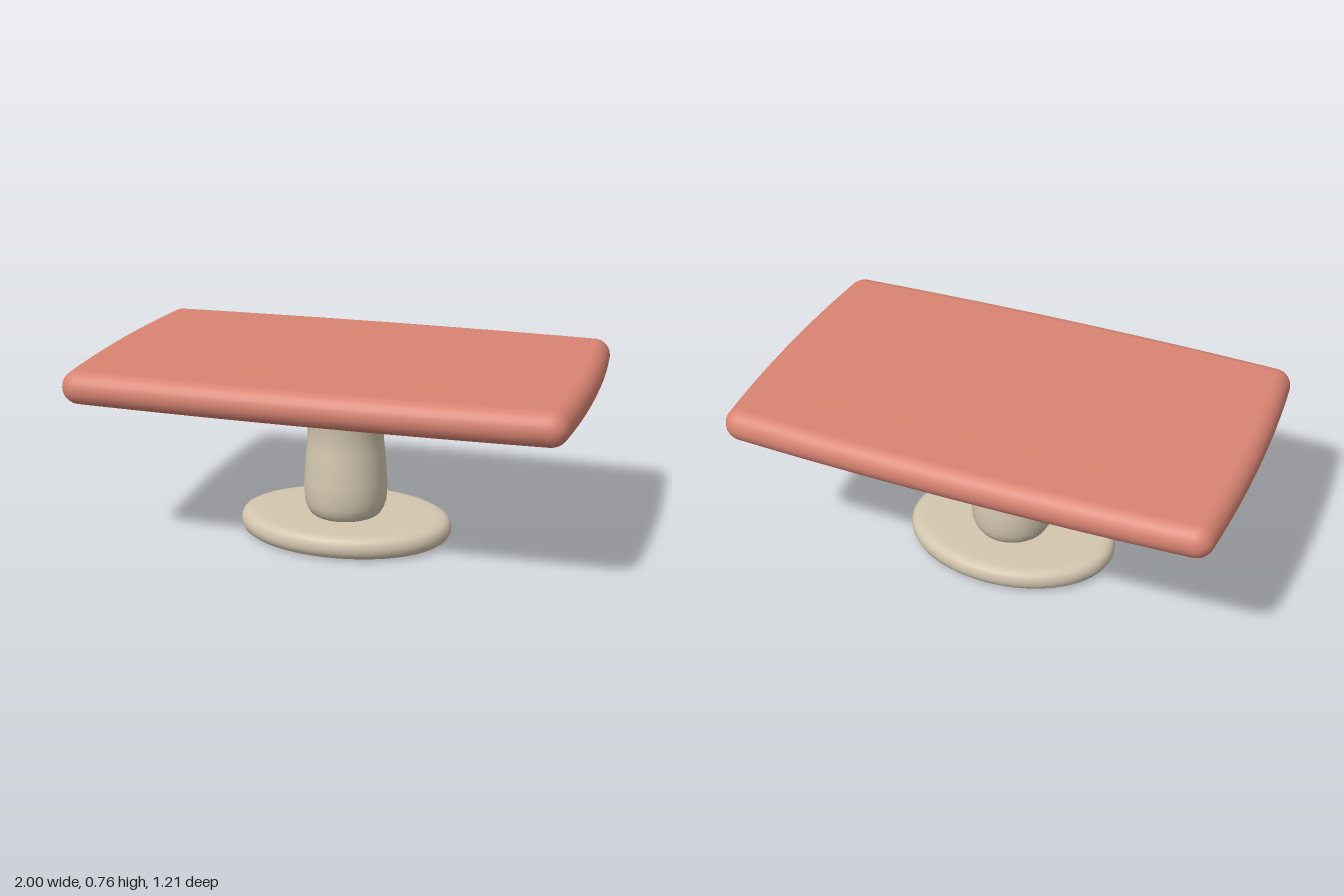
import * as THREE from 'three';

const coral = new THREE.MeshStandardMaterial({ name: 'coral', color: 0xd98472 });
const cream = new THREE.MeshStandardMaterial({ name: 'cream', color: 0xd3c6af });

// Slab with gently bowed sides, rounded corners and a half-round rim
function slabGeometry(cx, cz, bulge, rim, yMid, halfH) {
  const outline = []; // [x, z, normalX, normalZ]
  const corners = [[1, 1], [-1, 1], [-1, -1], [1, -1]];
  corners.forEach(([sx, sz], i) => {
    for (let k = 0; k <= 6; k++) { // corner arc
      const a = (i + k / 6) * Math.PI / 2;
      outline.push([sx * cx, sz * cz, Math.cos(a), Math.sin(a)]);
    }
    const [ex, ez] = corners[(i + 1) % 4];
    const a = (i + 1) * Math.PI / 2, nx = Math.cos(a), nz = Math.sin(a);
    for (let k = 1; k < 16; k++) { // bowed side
      const t = k / 16, b = bulge * 4 * t * (1 - t);
      outline.push([cx * (sx + (ex - sx) * t) + nx * b, cz * (sz + (ez - sz) * t) + nz * b, nx, nz]);
    }
  });

  const n = outline.length, rings = 12, pos = [], index = [];
  for (let r = 0; r <= rings; r++) {
    const phi = (r / rings - 0.5) * Math.PI, d = 0.004 + (rim - 0.004) * Math.cos(phi);
    for (const [x, z, nx, nz] of outline) pos.push(x + nx * d, yMid + halfH * Math.sin(phi), z + nz * d);
  }
  const bottom = pos.length / 3, top = bottom + 1;
  pos.push(0, yMid - halfH, 0, 0, yMid + halfH, 0);
  for (let i = 0; i < n; i++) {
    const j = (i + 1) % n;
    for (let r = 0; r < rings; r++) {
      const a = r * n + i, b = r * n + j;
      index.push(a, a + n, b, b, a + n, b + n);
    }
    index.push(bottom, i, j, top, rings * n + j, rings * n + i);
  }
  const g = new THREE.BufferGeometry();
  g.setAttribute('position', new THREE.Float32BufferAttribute(pos, 3));
  g.setIndex(index);
  g.computeVertexNormals();
  return g;
}

// Smooth turned shape from a few [radius, height] points
function turned(points) {
  return new THREE.LatheGeometry(points.map(([r, y]) => new THREE.Vector2(r, y)), 64);
}

export function createModel() {
  const group = new THREE.Group();
  group.name = 'pedestalTable';
  const add = (name, geometry, material) => {
    const mesh = new THREE.Mesh(geometry, material);
    mesh.name = name;
    group.add(mesh);
  };

  add('tableTop', slabGeometry(0.909, 0.514, 0.022, 0.069, 0.692, 0.067), coral);

  // Waisted column
  const waist = new THREE.SplineCurve([[0.17, 0.22], [0.163, 0.32], [0.154, 0.42], [0.16, 0.51], [0.168, 0.59]]
    .map(p => new THREE.Vector2(...p))).getPoints(16).map(p => [p.x, p.y]);
  add('column', turned([[0.13, 0.09], [0.147, 0.105], [0.158, 0.125], [0.166, 0.15], [0.169, 0.185],
    ...waist, [0.168, 0.61], [0.164, 0.625], [0.14, 0.635]]), cream);

  // Oval foot with a rounded rim
  const foot = turned([[0, 0.003], [0.3, 0.003], [0.38, 0.004], [0.41, 0.01], [0.428, 0.022], [0.437, 0.038],
    [0.439, 0.053], [0.436, 0.069], [0.427, 0.084], [0.41, 0.093], [0.38, 0.097], [0.3, 0.098], [0, 0.098]]);
  foot.translate(0, -0.003, 0);
  foot.scale(1, 1.02, 0.727);
  add('foot', foot, cream);

  return group;
}
